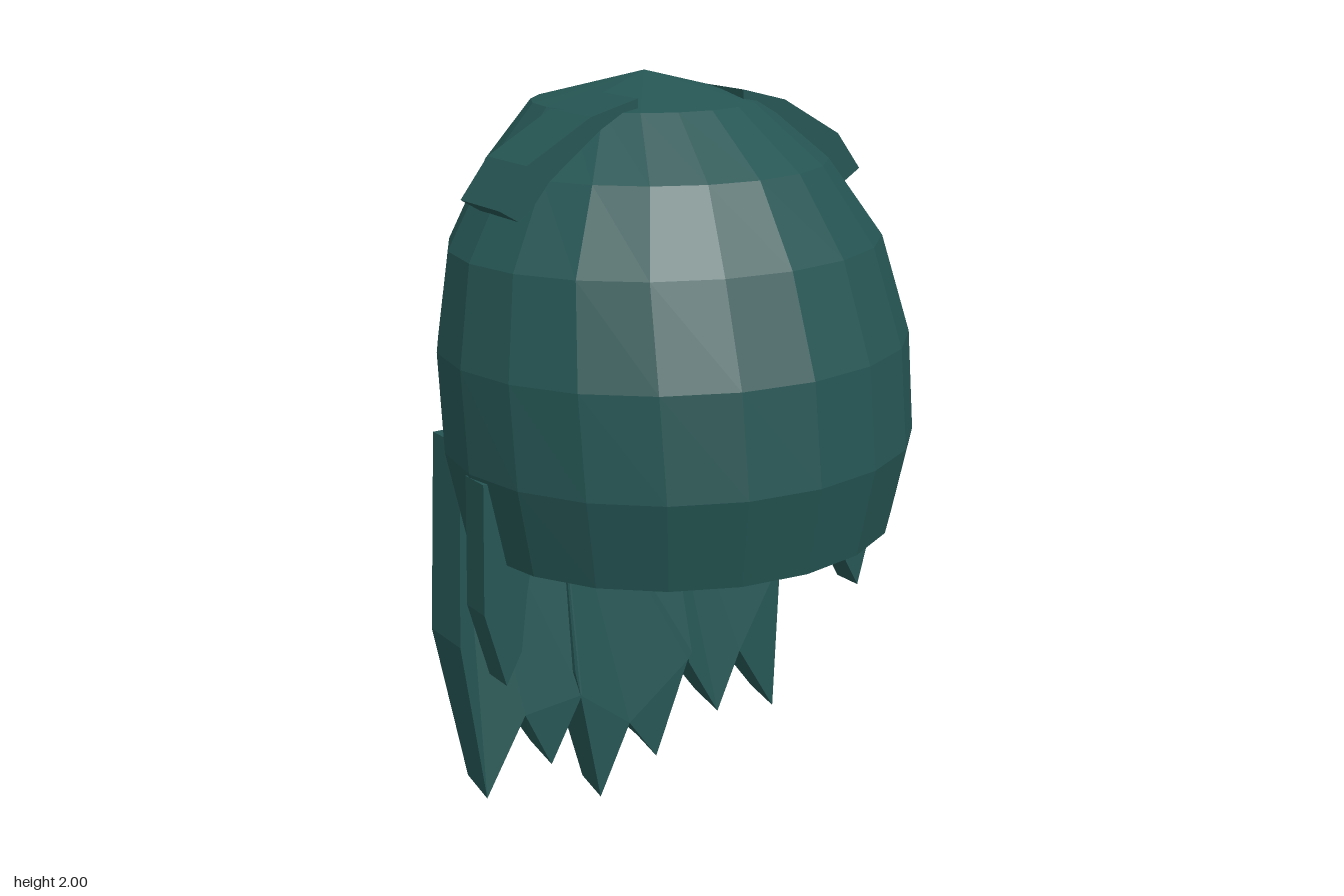
import * as THREE from 'three';

const hair = new THREE.MeshStandardMaterial({ color: 0x255553 });
hair.name = 'darkTealHair';

// Facet a geometry and wrap it in a named mesh
function faceted(geometry, name) {
  const g = geometry.index ? geometry.toNonIndexed() : geometry;
  g.computeVertexNormals();
  const mesh = new THREE.Mesh(g, hair);
  mesh.name = name;
  return mesh;
}

// Slab with an outline in x and y; rule(x, y, t) gives [x, y, z] with t = 0 back, 1 front
function slab(name, points, side, rule) {
  const shape = new THREE.Shape(points.map(([x, y]) => new THREE.Vector2(x * side, y)));
  const g = new THREE.ExtrudeGeometry(shape, { depth: 1, bevelEnabled: false });
  const p = g.attributes.position;
  for (let i = 0; i < p.count; i++) {
    const [x, y, z] = rule(p.getX(i) * side, p.getY(i), p.getZ(i));
    p.setXYZ(i, x * side, y, z);
  }
  return faceted(g, name);
}

// Cap of hair: elliptical rings [half width, height, front z, back z]
function dome() {
  const rings = [
    [0, 0.885, 0, 0],
    [0.565, 0.885, 0.53, -0.52],
    [0.612, 1.11, 0.572, -0.56],
    [0.612, 1.36, 0.54, -0.573],
    [0.56, 1.6, 0.45, -0.55],
    [0.43, 1.79, 0.325, -0.505],
    [0.285, 1.93, 0.138, -0.422],
    [0, 2, -0.145, -0.145],
  ];
  const g = new THREE.LatheGeometry(rings.map(([r, y]) => new THREE.Vector2(r, y)), 20);
  const p = g.attributes.position;
  for (let i = 0; i < p.count; i++) {
    const [r, , front, back] = rings[i % rings.length];
    const unit = r ? p.getZ(i) / r : 0;
    p.setZ(i, (front + back) / 2 + unit * (front - back) / 2);
  }
  return faceted(g, 'hairCap');
}

// Back locks lean away from the neck towards the top
function backRule(x, y, t) {
  const front = -0.2 - Math.max(0, y - 0.4) * 0.21;
  const back = -0.295 - Math.max(0, y - 0.06) * 0.19;
  const bx = t < 0.5 && y > 1 && x < 0.3 && x > 0.1 ? x + 0.05 : x;
  return [bx, t < 0.5 && y < 0.2 ? y + 0.025 : y, t > 0.5 ? front : back];
}

export function createModel() {
  const model = new THREE.Group();
  model.name = 'hair';
  model.add(dome());

  // Middle lock at the back
  model.add(slab('middleBackLock', [
    [-0.165, 1.06], [-0.2, 0.4], [-0.185, 0.33], [-0.125, 0.0], [-0.025, 0.2],
    [0.065, 0.07], [0.175, 0.34], [0.19, 0.36], [0.16, 1.06],
  ], 1, (x, y, t) => {
    const [, by, bz] = backRule(x, y, t);
    return [x, by, bz];
  }));

  for (const [side, label] of [[1, 'left'], [-1, 'right']]) {
    // Wide outer lock at the back
    model.add(slab(label + 'BackLock', [
      [0.45, 1.06], [0.53, 0.55], [0.485, 0.11], [0.36, 0.32],
      [0.282, 0.15], [0.18, 0.33], [0.16, 1.06],
    ], side, backRule));

    // Thin lock beside the ear
    model.add(slab(label + 'SideLock', [
      [0.61, 1.1], [0.62, 0.77], [0.565, 0.57], [0.52, 0.65], [0.5, 0.8], [0.48, 0.9], [0.5, 1.1],
    ], side, (x, y, t) => [x, y, -0.015 + 0.085 * t]));

    // Bent tuft lying on the crown
    model.add(slab(label + 'CrownTuft', [
      [0.155, 1.96], [0.285, 1.927], [0.46, 1.83], [0.535, 1.735],
      [0.485, 1.705], [0.4, 1.77], [0.27, 1.86], [0.155, 1.9],
    ], side, (x, y, t) => [x, y, -0.125 + 0.18 * t]));
  }
  return model;
}
